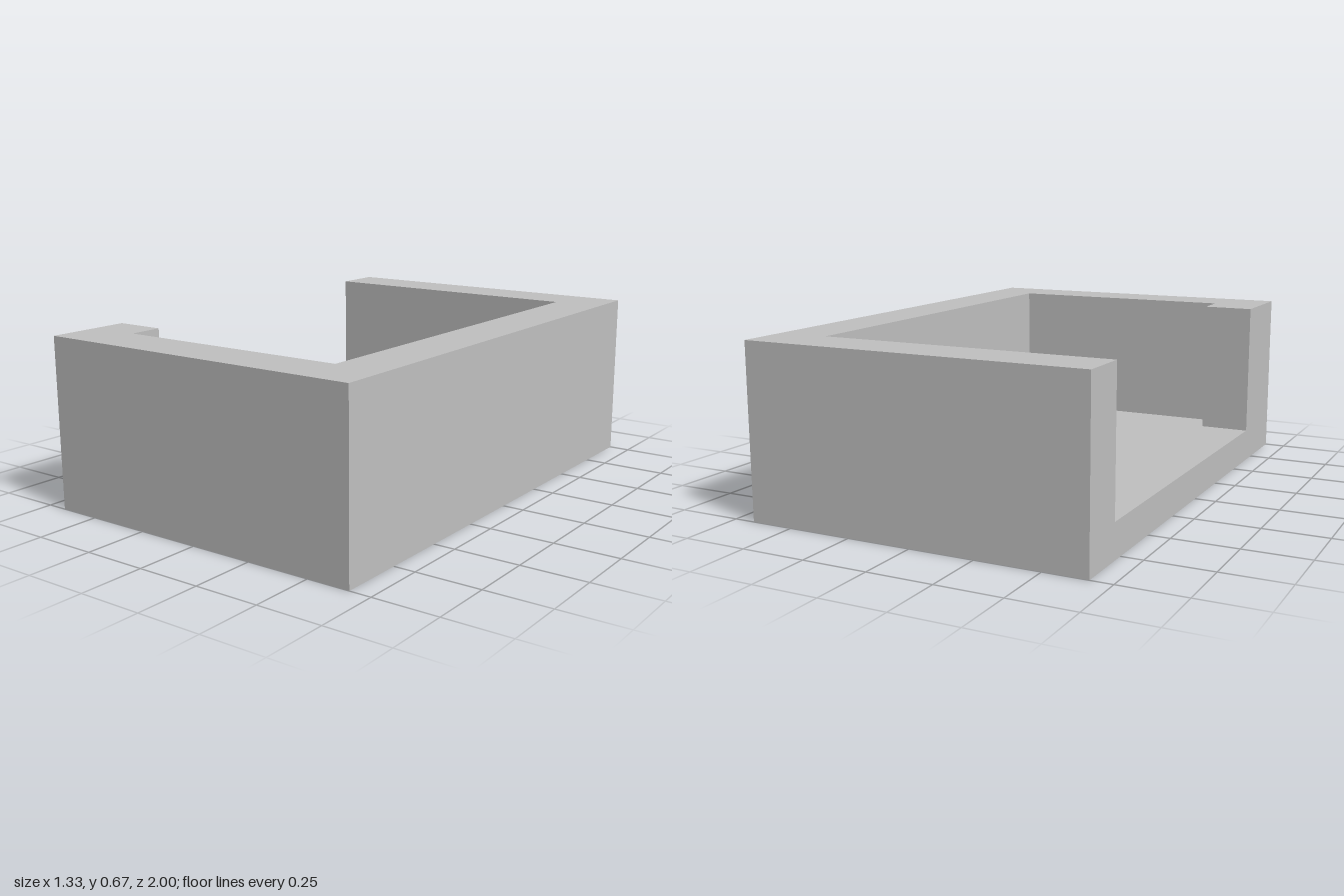
import * as THREE from 'three';

export function createModel() {
  const group = new THREE.Group();
  group.name = 'openTray';
  const grey = new THREE.MeshStandardMaterial({ color: 0xbfbfbf });
  grey.name = 'light grey';

  const W = 0.667, D = 1, H = 0.667, FLOOR = 0.133, WALL = 0.2;

  // Extrudes a plan outline of [x, z] points upwards from y0 to y1
  function addSlab(name, plan, y0, y1) {
    const shape = new THREE.Shape(plan.map(([x, z]) => new THREE.Vector2(x, -z)));
    const geometry = new THREE.ExtrudeGeometry(shape, { depth: y1 - y0, bevelEnabled: false });
    geometry.rotateX(-Math.PI / 2).translate(0, y0, 0);
    const mesh = new THREE.Mesh(geometry, grey);
    mesh.name = name;
    group.add(mesh);
  }

  // Solid floor
  addSlab('floor', [[-W, D], [W, D], [W, -D], [-W, -D]], 0, FLOOR);

  // Walls on three sides, open towards -x, with a short return at the front corner
  const inX = W - WALL, inZ = D - WALL;
  addSlab('walls', [
    [-W, D], [W, D], [W, -D], [-W, -D],
    [-W, -inZ], [inX, -inZ], [inX, inZ],
    [-inX, inZ], [-inX, 0.667], [-W, 0.667],
  ], FLOOR, H);

  return group;
}
